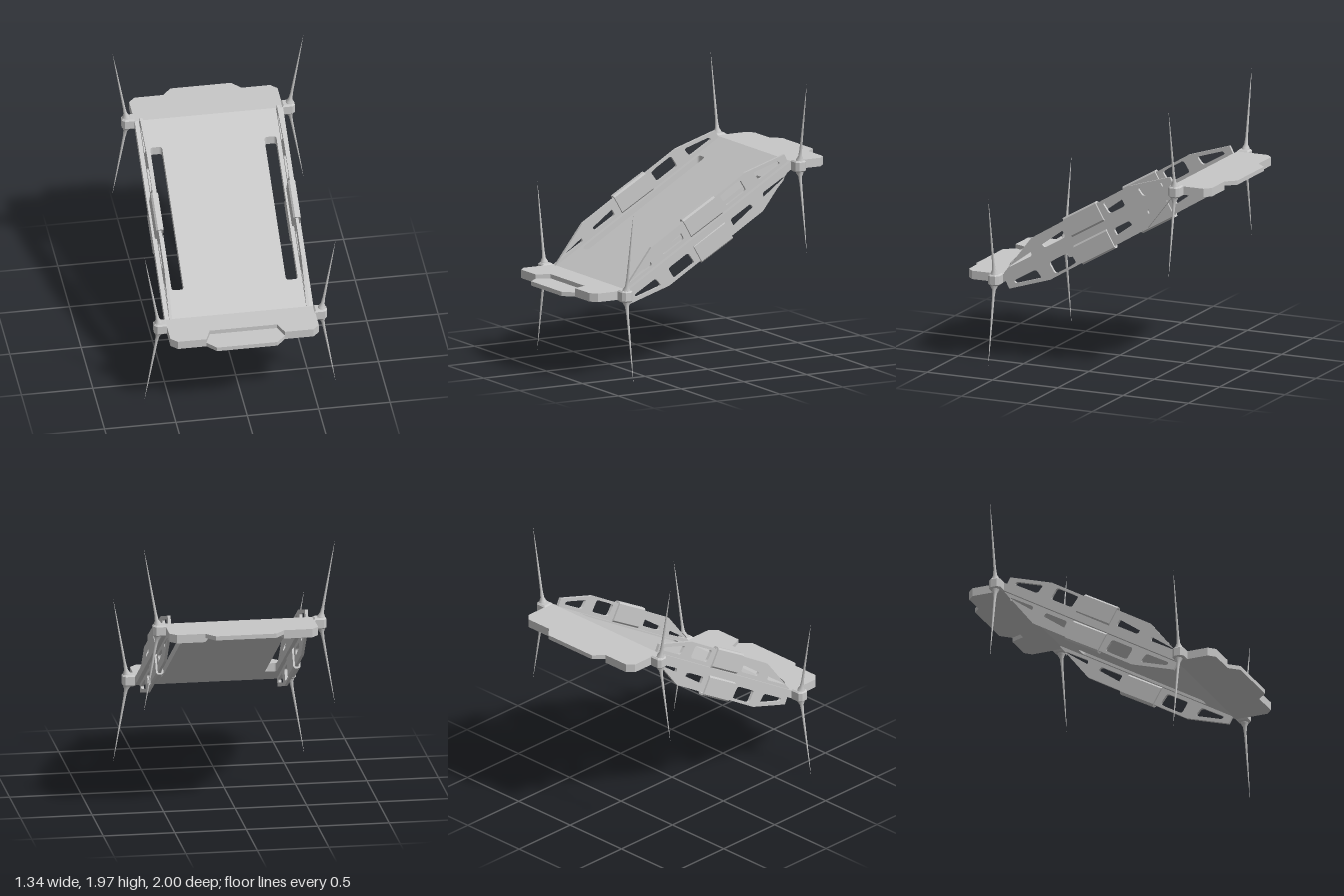
import * as THREE from 'three';

const MID_Y = 0.988;            // height of the model's centre
const RISE = 0.39;              // plate offset above / below the centre
const TILT = Math.PI / 6;       // slope of the side trusses
const THICK = 0.06;

const grey = new THREE.MeshStandardMaterial({ color: 0xc8c8c8 });
grey.name = 'plain grey';

const poly = (pts, Type = THREE.Shape) => new Type(pts.map(([x, y]) => new THREE.Vector2(x, y)));

// closed outline with rounded corners
function rounded(pts, r, Type = THREE.Path) {
  const p = new Type();
  const v = pts.map(([x, y]) => new THREE.Vector2(x, y));
  v.forEach((c, i) => {
    const a = v[(i + v.length - 1) % v.length], b = v[(i + 1) % v.length];
    const s = c.clone().add(a.clone().sub(c).setLength(Math.min(r, a.distanceTo(c) * 0.45)));
    const e = c.clone().add(b.clone().sub(c).setLength(Math.min(r, b.distanceTo(c) * 0.45)));
    if (i === 0) p.moveTo(s.x, s.y); else p.lineTo(s.x, s.y);
    p.quadraticCurveTo(c.x, c.y, e.x, e.y);
  });
  p.closePath();
  return p;
}

const rect = (x0, y0, x1, y1) => [[x0, y0], [x1, y0], [x1, y1], [x0, y1]];
const extrude = (shape, depth, extra = {}) =>
  new THREE.ExtrudeGeometry(shape, { depth, bevelEnabled: false, curveSegments: 4, ...extra });

// horizontal slab: shape drawn in (x, -z), resting at height y
function slab(shape, y, height) {
  return extrude(shape, height).rotateX(-Math.PI / 2).translate(0, y, 0);
}

function add(parent, name, geometry) {
  const m = new THREE.Mesh(geometry, grey);
  m.name = name;
  parent.add(m);
  return m;
}

// sloping deck with two long slots, sheared so its ends stay vertical
function deckGeometry() {
  const shape = poly(rect(-0.52, -0.65, 0.52, 0.65));
  for (const s of [-1, 1])
    shape.holes.push(rounded(rect(s * 0.4 - 0.042, -0.466, s * 0.4 + 0.042, 0.468), 0.02));
  const g = slab(shape, -THICK / 2, THICK);
  const p = g.attributes.position;
  for (let i = 0; i < p.count; i++) p.setY(i, p.getY(i) - p.getZ(i) * RISE / 0.65);
  g.computeVertexNormals();
  return g;
}

// end plate: notched top layer over a bottom layer with a projecting tab
function addPlate(parent) {
  const edge = (middle) => poly([[-0.52, -0.65], [-0.52, -0.885], [-0.475, -0.93], [-0.275, -0.93],
    ...middle, [0.275, -0.93], [0.475, -0.93], [0.52, -0.885], [0.52, -0.65]]);
  const y = -RISE;
  add(parent, 'plateTopLayer', slab(edge([[-0.236, -0.832], [0.236, -0.832]]), y, THICK / 2));
  add(parent, 'plateTabLayer', slab(edge([[-0.212, -1], [0.212, -1]]), y - THICK / 2, THICK / 2));
}

// truss half above the deck, drawn along (u) and across (v) the slope
function trussGeometry() {
  const shape = poly([[-0.79, 0], [-0.427, 0.15], [0.444, 0.168], [0.765, 0.096], [0.76, 0]]);
  const windows = [
    [[-0.69, 0.037], [-0.483, 0.037], [-0.483, 0.112], [-0.675, 0.057]],
    [[-0.372, 0.047], [-0.183, 0.049], [-0.186, 0.138], [-0.378, 0.124]],
    [[0.208, 0.055], [0.392, 0.057], [0.388, 0.148], [0.198, 0.146]],
    [[0.508, 0.06], [0.705, 0.06], [0.7, 0.084], [0.496, 0.13]],
  ];
  for (const w of windows) shape.holes.push(rounded(w, 0.02));
  return extrude(shape, 0.02).translate(0, 0, -0.01).rotateY(Math.PI / 2).rotateX(TILT);
}

// chamfered sleeve around the middle of a truss half
function sleeveGeometry() {
  const w = 0.026, c = 0.012, b = 0.028, t = 0.176;
  const shape = poly([[-w + c, b], [w - c, b], [w, b + c], [w, t - c],
    [w - c, t], [-w + c, t], [-w, t - c], [-w, b + c]]);
  shape.holes.push(rounded(rect(-0.013, b + 0.012, 0.013, t - 0.012), 0.01));
  return extrude(shape, 0.287).translate(0, 0, -0.154).rotateX(TILT);
}

// corner hub with a slanted spike above and below
function cornerHub(side) {
  const hub = new THREE.Group();
  hub.name = side > 0 ? 'leftCornerHub' : 'rightCornerHub';
  const outline = poly([[-0.045, -0.032], [0.012, -0.032], [0.026, -0.018],
    [0.026, 0.018], [0.012, 0.032], [-0.045, 0.032]]);
  const body = extrude(outline, 0.06, {
    bevelEnabled: true, bevelSize: 0.01, bevelThickness: 0.01, bevelSegments: 1 });
  body.translate(0, 0, -0.03).rotateX(-Math.PI / 2);
  if (side < 0) body.rotateY(Math.PI);
  add(hub, 'hubBody', body);
  const profile = [[0.028, 0], [0.026, 0.012], [0.014, 0.035], [0.0095, 0.085],
    [0.007, 0.25], [0.0035, 0.45], [0, 0.568]].map(([r, y]) => new THREE.Vector2(r, y));
  const lean = 0.172;
  for (const up of [1, -1]) {
    const spike = add(hub, up > 0 ? 'upperSpike' : 'lowerSpike', new THREE.LatheGeometry(profile, 10));
    spike.position.set(side * 0.002, up * 0.036, 0);
    spike.rotation.z = up > 0 ? -side * lean : Math.PI + side * lean;
  }
  hub.position.set(side * 0.57, -RISE, 0.69);
  return hub;
}

// one end of the model with the trusses lying over the deck
function createHalf() {
  const half = new THREE.Group();
  addPlate(half);
  for (const side of [1, -1]) {
    half.add(cornerHub(side));
    add(half, 'sideTruss', trussGeometry()).position.x = side * 0.48;
    add(half, 'trussSleeve', sleeveGeometry()).position.x = side * 0.48;
  }
  return half;
}

export function createModel() {
  const model = new THREE.Group();
  model.name = 'slopingPlatform';
  const body = new THREE.Group();
  body.name = 'platformBody';
  body.position.y = MID_Y;
  model.add(body);

  add(body, 'slopingDeck', deckGeometry());
  // the rear end is the front end turned half way about the x axis
  const front = createHalf();
  front.name = 'frontHalf';
  const rear = createHalf();
  rear.name = 'rearHalf';
  rear.rotation.x = Math.PI;
  body.add(front, rear);
  return model;
}
